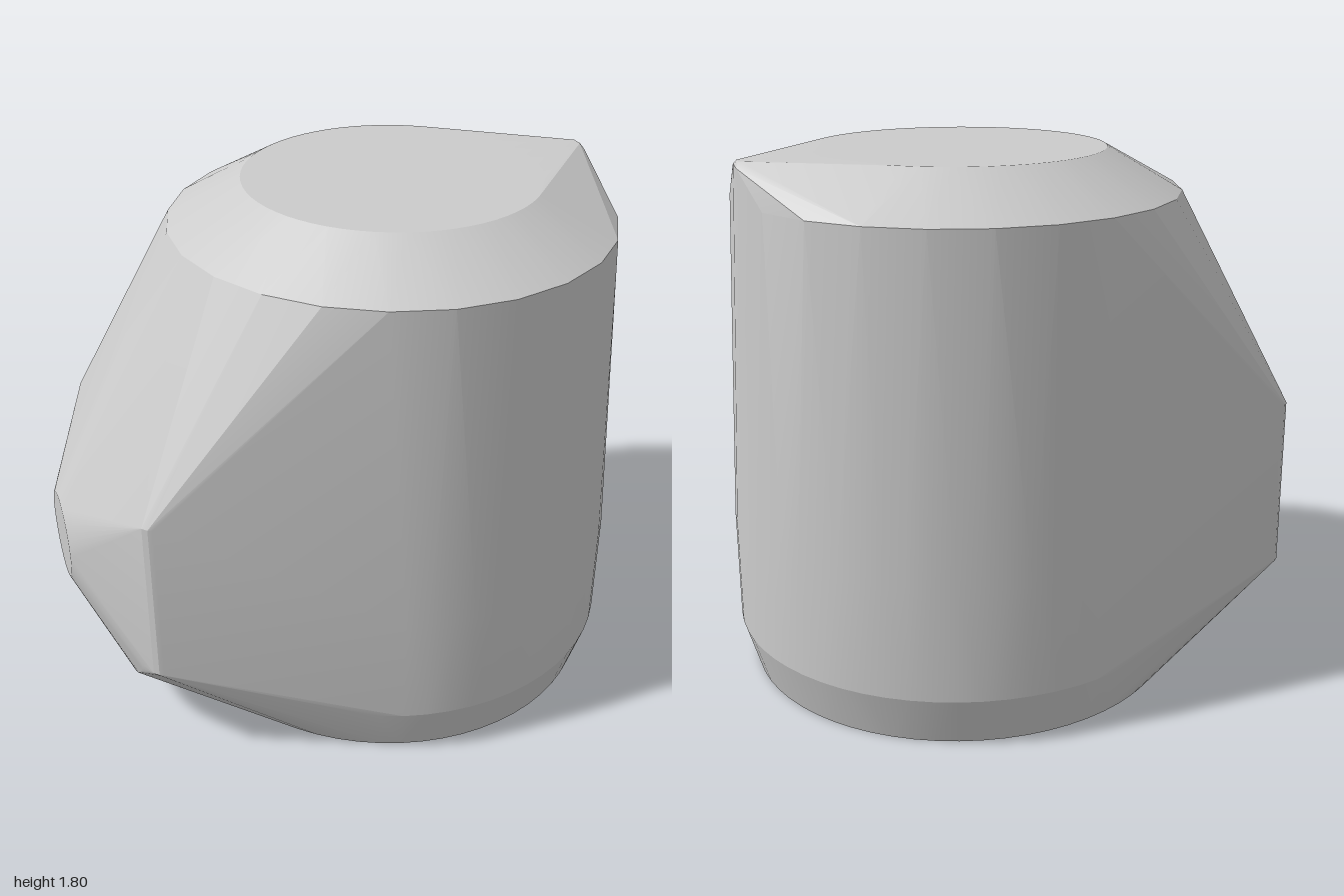
import * as THREE from 'three';
import { ConvexGeometry } from 'three/addons/geometries/ConvexGeometry.js';
import { toCreasedNormals } from 'three/addons/utils/BufferGeometryUtils.js';

export function createModel() {
  const group = new THREE.Group();
  const points = [];
  const add = (x, y, z) => points.push(new THREE.Vector3(x, y, z));
  const addPair = (x, y, z) => { add(x, y, z); add(x, y, -z); };

  // Horizontal ring of the round body, centred on x = 0.2
  const ring = (y, r, n, offset = 0) => {
    for (let i = 0; i < n; i++) {
      const a = ((i + offset) / n) * Math.PI * 2;
      add(0.2 + r * Math.cos(a), y, r * Math.sin(a));
    }
  };
  ring(0, 0.75, 64);
  ring(0.17, 0.8, 64);
  ring(0.55, 0.8, 64);
  ring(1.66, 0.75, 24, 0.5);
  ring(1.8, 0.5, 64);

  // Small raised nub on the top rim
  for (const dz of [-0.04, 0.04]) {
    add(0.945, 1.775, -0.095 + dz);
    add(0.935, 1.793, -0.095 + dz / 2);
  }
  add(0.948, 1.785, -0.095);

  // Round end face of the side bulge
  for (let i = 0; i < 32; i++) {
    const a = (i / 32) * Math.PI * 2;
    add(-1, 0.65 + 0.15 * Math.sin(a), 0.15 * Math.cos(a));
  }

  // Softly rounded upright corners of the bulge
  for (const y of [0.37, 0.95]) {
    addPair(-0.815, y, 0.495);
    addPair(-0.8, y, 0.512);
    addPair(-0.785, y, 0.518);
  }

  // Curved underside of the bulge
  for (let i = 0; i <= 24; i++) {
    const a = (-0.5 + (i / 24 - 0.5) * 0.66) * Math.PI;
    const c = Math.cos(a), s = Math.sin(a);
    add(-0.84, 0.65 - 0.48 * Math.abs(s) ** 0.8, 0.5 * Math.sign(c) * Math.abs(c) ** 0.8);
  }

  const body = new THREE.Mesh(
    toCreasedNormals(new ConvexGeometry(points), 0.22),
    new THREE.MeshStandardMaterial({ color: 0xcccccc })
  );
  body.name = 'body';
  group.add(body);
  return group;
}
